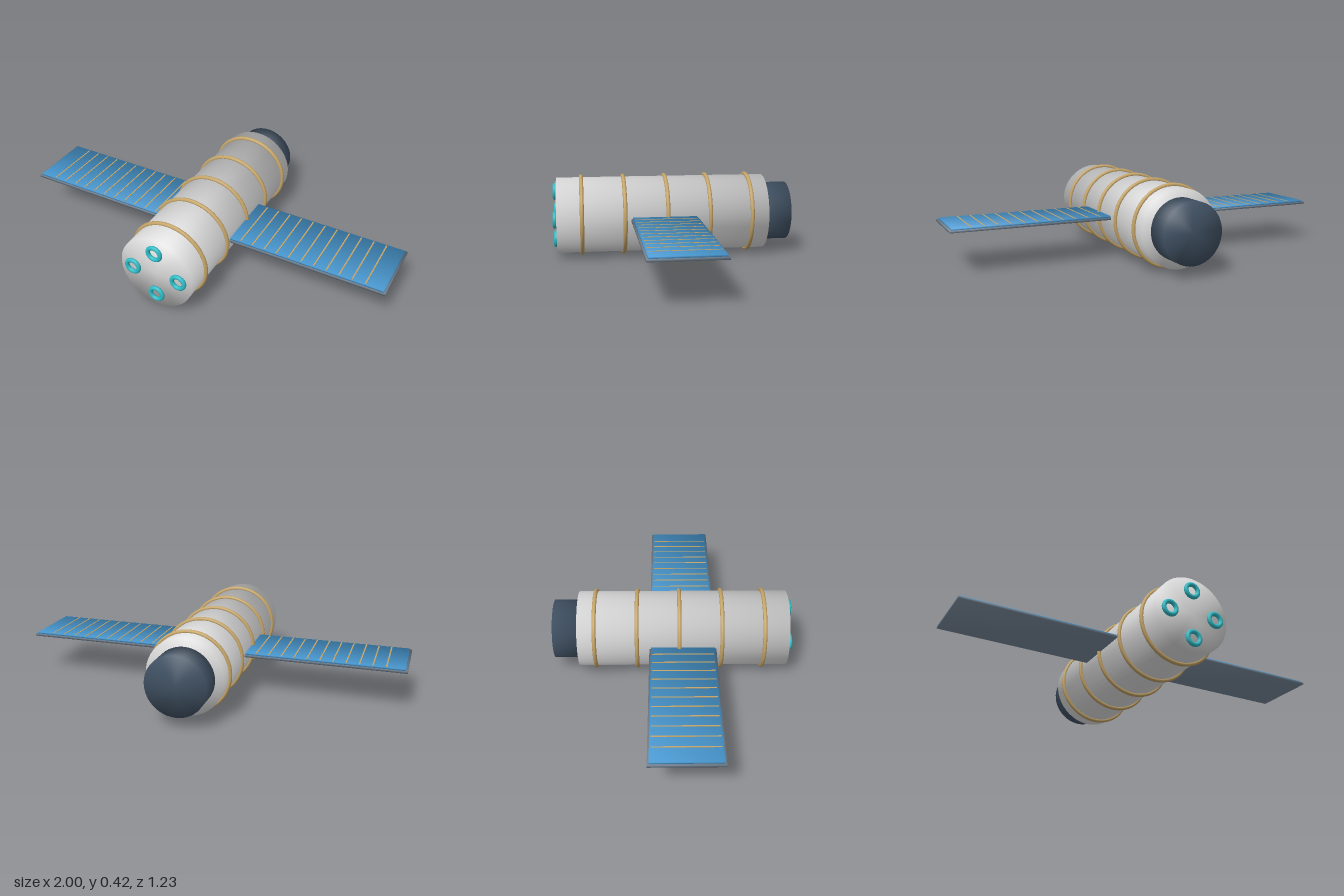
import * as THREE from 'three';

const mat = (name, color) => {
  const m = new THREE.MeshStandardMaterial({ color });
  m.name = name;
  return m;
};

// Cylinder along z whose rim normals blend side and cap
function softCylinder(r, z0, z1) {
  const g = new THREE.CylinderGeometry(r, r, z1 - z0, 48);
  const p = g.attributes.position, n = g.attributes.normal, v = new THREE.Vector3();
  for (let i = 0; i < p.count; i++) {
    const x = p.getX(i) / r, z = p.getZ(i) / r;
    v.set(x, Math.sign(p.getY(i)), z).normalize();
    n.setXYZ(i, v.x, v.y, v.z);
  }
  return g.rotateX(Math.PI / 2).translate(0, 0, (z0 + z1) / 2);
}

// Box whose corner normals blend the three faces
function softBox(w, h, d) {
  const g = new THREE.BoxGeometry(w, h, d);
  const p = g.attributes.position, n = g.attributes.normal, k = 1 / Math.sqrt(3);
  for (let i = 0; i < p.count; i++) {
    n.setXYZ(i, Math.sign(p.getX(i)) * k, Math.sign(p.getY(i)) * k, Math.sign(p.getZ(i)) * k);
  }
  return g;
}

export function createModel() {
  const root = new THREE.Group();
  root.name = 'spaceStation';

  const hullWhite = mat('hullWhite', 0xd9d9d9);
  const gold = mat('gold', 0xc4a468);
  const teal = mat('teal', 0x30bcc6);
  const darkSlate = mat('darkSlate', 0x405163);
  const panelBlue = mat('panelBlue', 0x4a9cd6);
  const frameGrey = mat('frameGrey', 0x708090);

  const add = (name, geometry, material, x, y, z) => {
    const m = new THREE.Mesh(geometry, material);
    m.name = name;
    m.position.set(x, y, z);
    root.add(m);
    return m;
  };

  const cy = 0.21;

  // Hull and rear module
  add('hull', softCylinder(0.195, -0.484, 0.595), hullWhite, 0, cy, 0);
  add('rearModule', softCylinder(0.152, -0.613, -0.47), darkSlate, 0, cy, 0);

  // Hoops around the hull
  const hoop = new THREE.TorusGeometry(0.199, 0.0105, 12, 64);
  for (let i = 0; i < 5; i++) add('hullHoop', hoop, gold, 0, cy, 0.468 - i * 0.216);

  // Docking rings on the front end
  const port = new THREE.TorusGeometry(0.033, 0.011, 12, 32);
  for (const [x, y] of [[0.125, 0], [-0.125, 0], [0, 0.125], [0, -0.125]]) {
    add('dockingRing', port, teal, x, cy + y, 0.603);
  }

  // Solar wings: frame, cell plate and thin cross strips
  const frame = softBox(0.81, 0.011, 0.34);
  const cells = softBox(0.795, 0.009, 0.324);
  const strip = new THREE.BoxGeometry(0.007, 0.003, 0.31);
  for (const s of [1, -1]) {
    add('wingFrame', frame, frameGrey, s * 0.595, 0.2125, 0.053);
    add('wingCells', cells, panelBlue, s * 0.592, 0.2215, 0.053);
    for (let i = 0; i < 11; i++) {
      add('wingStrip', strip, gold, s * (0.25 + i * 0.0648), 0.2257, 0.053);
    }
  }
  return root;
}
